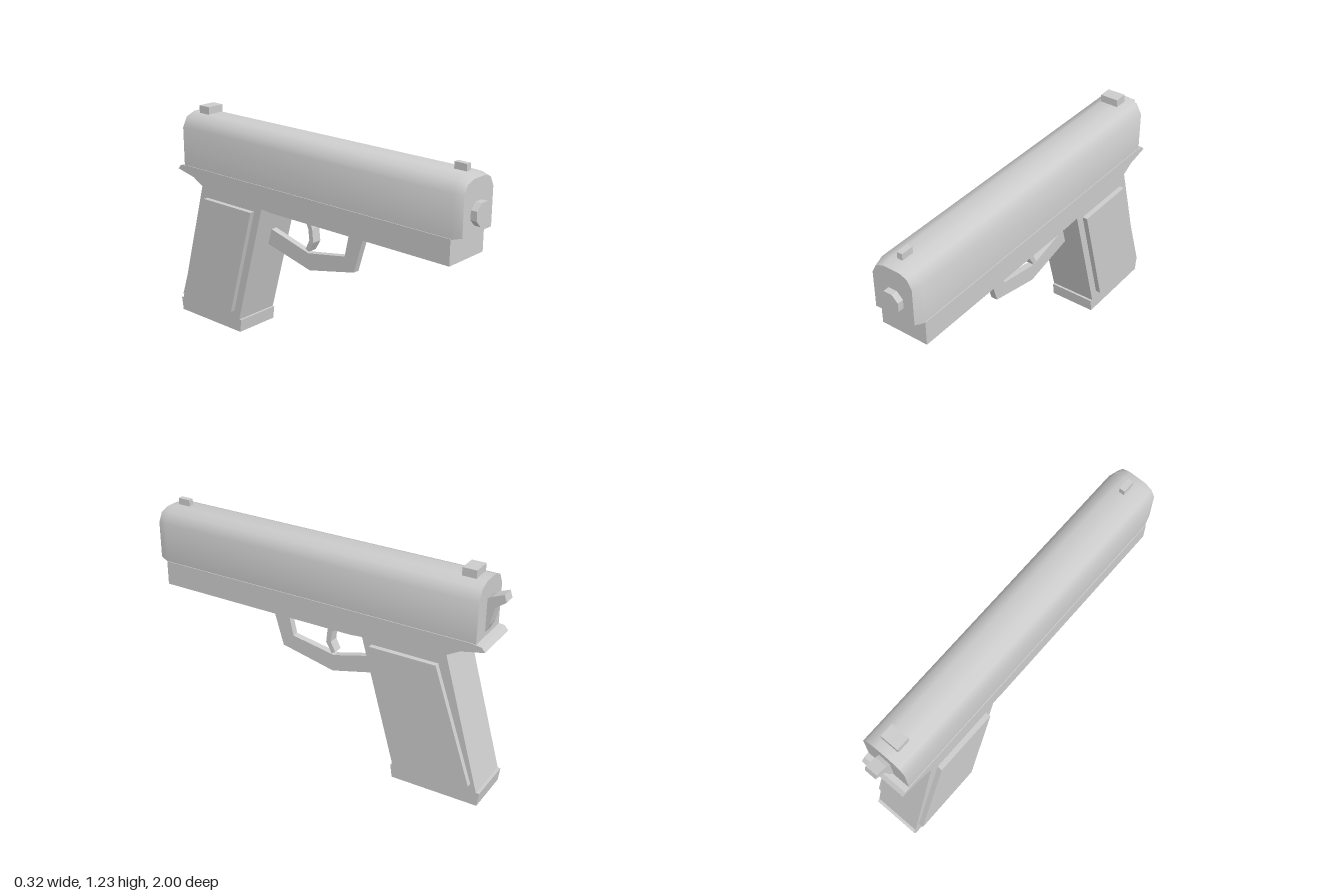
import * as THREE from 'three';
import { toCreasedNormals } from 'three/addons/utils/BufferGeometryUtils.js';

const grey = new THREE.MeshStandardMaterial({ color: 0xcccccc });
grey.name = 'grey';

function part(name, geometry) {
  const mesh = new THREE.Mesh(geometry, grey);
  mesh.name = name;
  return mesh;
}

// Side outline given as [z, y] points, extruded across x and centred
function sideProfile(name, points, width) {
  const shape = new THREE.Shape(points.map(([z, y]) => new THREE.Vector2(z, y)));
  const geometry = new THREE.ExtrudeGeometry(shape, { depth: width, bevelEnabled: false });
  geometry.translate(0, 0, -width / 2);
  geometry.rotateY(-Math.PI / 2);
  return part(name, geometry);
}

function box(name, width, y0, y1, z0, z1) {
  const geometry = new THREE.BoxGeometry(width, y1 - y0, z1 - z0);
  geometry.translate(0, (y0 + y1) / 2, (z0 + z1) / 2);
  return part(name, geometry);
}

// Closed loft through equal-sized sections, ordered back to front
function loft(sections) {
  const n = sections[0].points.length;
  const positions = sections.flatMap(s => s.points.flatMap(([x, y]) => [x, y, s.z]));
  const index = [];
  for (let s = 0; s < sections.length - 1; s++) {
    for (let i = 0; i < n; i++) {
      const a = s * n + i, b = s * n + (i + 1) % n;
      index.push(a, b, b + n, a, b + n, a + n);
    }
  }
  const last = (sections.length - 1) * n;
  for (let i = 1; i < n - 1; i++) {
    index.push(0, i + 1, i, last, last + i, last + i + 1);
  }
  const geometry = new THREE.BufferGeometry();
  geometry.setAttribute('position', new THREE.Float32BufferAttribute(positions, 3));
  geometry.setIndex(index);
  return toCreasedNormals(geometry, 0.75);
}

// Mirrors the +x half of a section, listed bottom to top
const mirrored = half => [...half, ...half.map(([x, y]) => [-x, y]).reverse()];

export function createModel() {
  const model = new THREE.Group();
  model.name = 'pistol';

  // Slide with chamfered top edges and tapered nose
  const body = mirrored([[0.13, 0.89], [0.13, 1.11], [0.1, 1.165], [0.045, 1.187]]);
  const nose = mirrored([[0.115, 0.905], [0.115, 1.105], [0.09, 1.153], [0.045, 1.17]]);
  model.add(part('slide', loft([
    { z: -0.905, points: body },
    { z: 0.912, points: body },
    { z: 0.966, points: nose },
  ])));

  // Octagonal muzzle
  const muzzle = new THREE.CylinderGeometry(0.062, 0.062, 0.06, 8, 1, false, Math.PI / 8);
  muzzle.rotateX(Math.PI / 2);
  muzzle.translate(0, 1.002, 0.97);
  model.add(part('muzzle', toCreasedNormals(muzzle, 0.3)));

  // Sights
  model.add(box('frontSight', 0.03, 1.17, 1.222, 0.835, 0.905));
  model.add(box('rearSight', 0.102, 1.17, 1.227, -0.852, -0.777));

  // Frame with grip and rear tang
  model.add(sideProfile('frame', [
    [0.915, 0.895], [0.915, 0.762], [-0.23, 0.762], [-0.3, 0.768],
    [-0.495, 0.07], [-0.965, 0.07], [-0.76, 0.8], [-0.83, 0.838],
    [-0.955, 0.865], [-0.935, 0.888], [-0.88, 0.895],
  ], 0.268));
  model.add(sideProfile('gripPanels', [
    [-0.355, 0.742], [-0.72, 0.742], [-0.93, 0.12], [-0.53, 0.12],
  ], 0.324));
  model.add(sideProfile('magazineBase', [
    [-0.49, 0], [-0.97, 0], [-0.98, 0.075], [-0.48, 0.075],
  ], 0.264));

  // Trigger and its guard
  model.add(sideProfile('triggerGuard', [
    [0.32, 0.77], [0.245, 0.52], [-0.062, 0.452], [-0.375, 0.528],
    [-0.35, 0.62], [-0.07, 0.546], [0.182, 0.592], [0.222, 0.77],
  ], 0.037));
  model.add(sideProfile('trigger', [
    [-0.062, 0.77], [-0.035, 0.69], [-0.027, 0.617], [-0.06, 0.56],
    [-0.082, 0.57], [-0.055, 0.625], [-0.062, 0.685], [-0.103, 0.77],
  ], 0.055));

  // Hammer
  model.add(sideProfile('hammer', [
    [-0.89, 1.08], [-0.925, 1.105], [-0.988, 1.13], [-1, 1.093],
    [-0.945, 1.053], [-0.925, 0.96], [-0.905, 0.915], [-0.89, 0.915],
  ], 0.068));

  return model;
}
